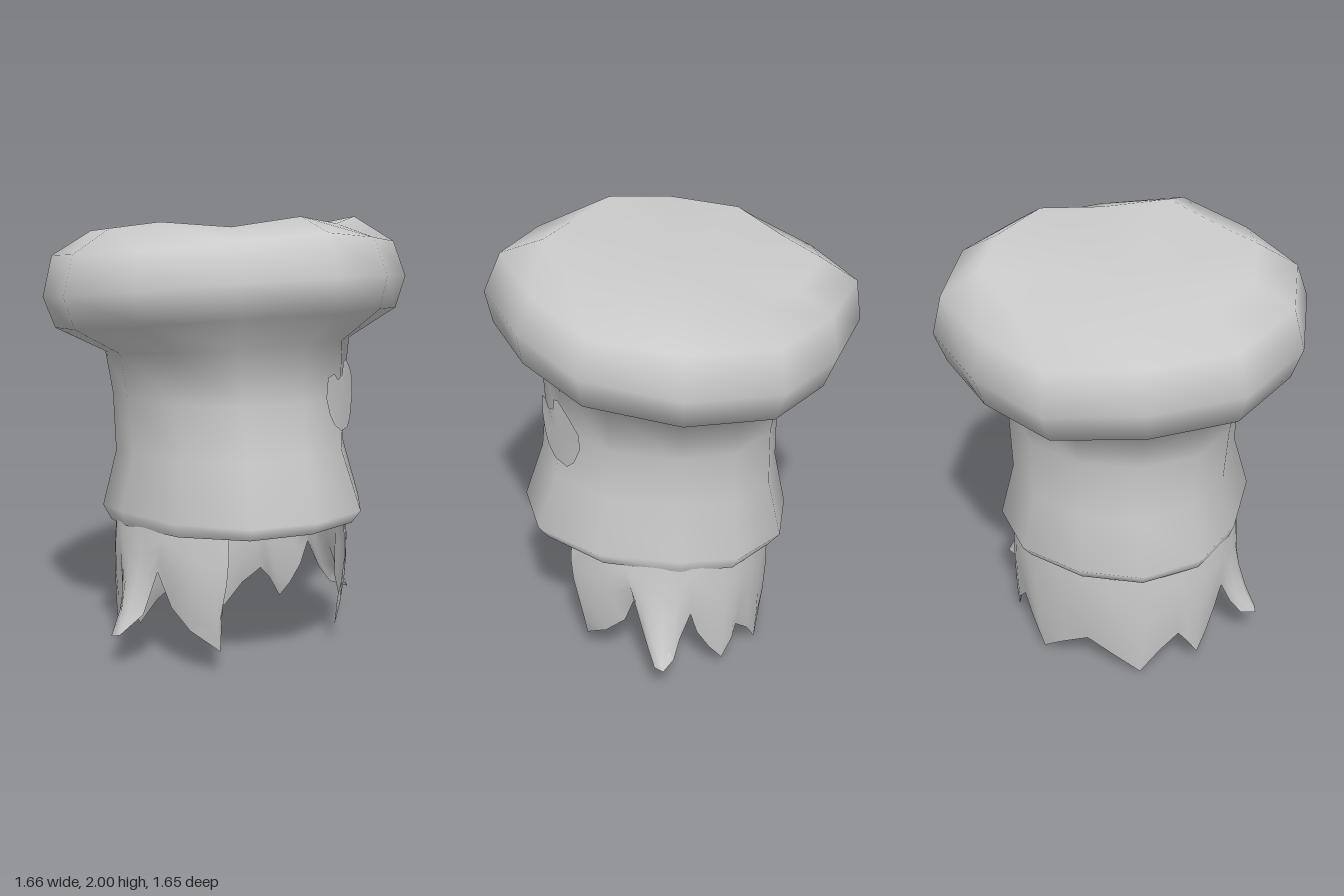
import * as THREE from 'three';

const grey = new THREE.MeshStandardMaterial({ color: 0xcccccc, side: THREE.DoubleSide });
grey.name = 'soft grey';

function meshFrom(name, points, index) {
  const g = new THREE.BufferGeometry();
  g.setAttribute('position', new THREE.Float32BufferAttribute(points.flat(), 3));
  g.setIndex(index);
  g.computeVertexNormals();
  const m = new THREE.Mesh(g, grey);
  m.name = name;
  return m;
}

// Quads between neighbouring rows of equal length, listed from top to bottom
function rowIndex(rows, cols, closed) {
  const index = [];
  for (let i = 0; i < rows - 1; i++) {
    for (let j = 0; j < (closed ? cols : cols - 1); j++) {
      const a = i * cols + j, b = i * cols + (j + 1) % cols;
      index.push(a, a + cols, b + cols, a, b + cols, b);
    }
  }
  return index;
}

const SIDES = 12;
// Tilted ring: half width and side height, height and depth at front and back,
// and the pull on the points 30 and 60 degrees from the front and back corners
function ring([w, yS, yF, zF, yB, zB, pull30, pull60]) {
  const pulls = [1, pull30, pull60, 1, pull60, pull30];
  return Array.from({ length: SIDES }, (_, j) => {
    const t = j / SIDES * Math.PI * 2, c = Math.cos(t), k = pulls[j % 6];
    const y = c > 0 ? yS + (yF - yS) * c : yS - (yB - yS) * c;
    return [w * k * Math.sin(t), y, c * k * (c > 0 ? zF : zB)];
  });
}

function hat() {
  const group = new THREE.Group();
  group.name = 'hat';
  const rings = [
    [0.60, 1.93, 2.00, 0.56, 1.895, 0.63, 0.93, 1],
    [0.78, 1.84, 1.94, 0.75, 1.78, 0.80, 0.93, 1],
    [0.83, 1.66, 1.76, 0.83, 1.59, 0.825, 0.935, 1],
    [0.78, 1.52, 1.61, 0.80, 1.45, 0.76, 0.94, 1],
    [0.56, 1.40, 1.46, 0.60, 1.355, 0.52, 0.98, 1],
    [0.52, 1.20, 1.21, 0.59, 1.17, 0.472, 1.01, 1.02],
    [0.50, 0.94, 0.97, 0.615, 0.89, 0.472, 1.02, 1.03],
    [0.565, 0.69, 0.705, 0.705, 0.626, 0.525, 1.04, 1.03],
    [0.54, 0.62, 0.647, 0.665, 0.56, 0.472, 1.03, 1.02],
  ].map(ring);
  // Puckers around the crown edge, from the front corner to the back corner
  const puckers = [
    [0, -0.031, 0.015, 0.015, 0.007, -0.03, 0],
    [0, -0.022, -0.022, 0, 0, 0, 0],
  ];
  puckers.forEach((row, i) => rings[i].forEach((p, j) => { p[1] += row[Math.min(j, SIDES - j)]; }));

  // Crown and band, with a sunken top
  const points = rings.flat();
  const index = rowIndex(rings.length, SIDES, true);
  const top = points.push([0, 1.86, -0.03]) - 1;
  for (let j = 0; j < SIDES; j++) index.push(top, j, (j + 1) % SIDES);
  group.add(meshFrom('crownAndBand', points, index));

  // Closed underside
  const under = [...rings[rings.length - 1], [0, 0.62, 0.05]];
  const underIndex = [];
  for (let j = 0; j < SIDES; j++) underIndex.push(SIDES, (j + 1) % SIDES, j);
  group.add(meshFrom('underside', under, underIndex));
  return group;
}

// Rounded patch with a nick in its upper edge, bent around the band
function patch() {
  const outline = [
    [0.12, 1.22], [0.15, 1.14], [0.19, 1.09], [0.25, 1.055], [0.33, 1.055],
    [0.37, 1.10], [0.405, 1.19], [0.40, 1.26], [0.35, 1.32], [0.29, 1.37],
    [0.26, 1.36], [0.25, 1.305], [0.21, 1.29], [0.18, 1.32], [0.13, 1.31],
  ];
  const bend = ([x, y]) => [x, y, 0.615 - 1.15 * x * x];
  const n = outline.length, points = [...outline, [0.27, 1.19]].map(bend), index = [];
  for (let j = 0; j < n; j++) index.push(n, j, (j + 1) % n);
  return meshFrom('patch', points, index);
}

// Ragged hair, thickest at the back and tapering to the tips
function hair() {
  const group = new THREE.Group();
  group.name = 'hair';
  // Lower edge from the front opening to the back centre: x, y, z, angle from the front
  const half = [
    [0.335, 0.24, 0.43, 36], [0.32, 0.11, 0.43, 42], [0.42, 0.20, 0.34, 51],
    [0.46, 0.29, 0.25, 58], [0.50, 0.45, 0.20, 67],
    [0.55, 0.25, 0.16, 74], [0.65, 0.16, 0.12, 79], [0.67, 0.15, 0.08, 83],
    [0.61, 0.17, 0.03, 88], [0.56, 0.25, 0.00, 92], [0.53, 0.37, -0.05, 97],
    [0.51, 0.25, -0.08, 103], [0.49, 0.14, -0.14, 110], [0.47, 0.06, -0.20, 118],
    [0.44, 0.15, -0.25, 125], [0.40, 0.20, -0.27, 131],
    [0.33, 0.12, -0.33, 139], [0.25, 0.0, -0.375, 148], [0.13, 0.09, -0.41, 164],
    [0, 0.16, -0.42, 180],
  ];
  const mirrored = half.slice(0, -1).reverse().map(([x, y, z, a]) => [-x, y, z, 360 - a]);
  const columns = [...half, ...mirrored];
  const steps = [0, 0.3, 0.55, 0.8, 1];

  // Both shells meet along the front opening and along the ragged edge
  const frontCos = Math.cos(THREE.MathUtils.degToRad(half[0][3]));
  const shell = thickness => steps.map(f => columns.map(([x, y, z, a]) => {
    const t = THREE.MathUtils.degToRad(a), s = Math.sin(t), c = Math.cos(t);
    const k = f ** 2.6, swell = 1 + 0.1 * f * (1 - f);
    const inward = thickness * (1 - f ** 4) * (frontCos - c);
    const tx = 0.53 * s, tz = c * (c > 0 ? 0.6 : 0.44);
    return [
      (tx + (x - tx) * k) * swell - inward * s,
      0.66 + (y - 0.66) * f,
      (tz + (z - tz) * k) * swell - inward * c,
    ];
  }));
  const add = (name, rows) => group.add(
    meshFrom(name, rows.flat(), rowIndex(rows.length, rows[0].length, false)));
  add('outerHair', shell(0));
  add('innerHair', shell(0.05).map(row => [...row].reverse()));
  return group;
}

export function createModel() {
  const model = new THREE.Group();
  model.name = 'hatWithHair';
  model.add(hat(), patch(), hair());
  return model;
}
